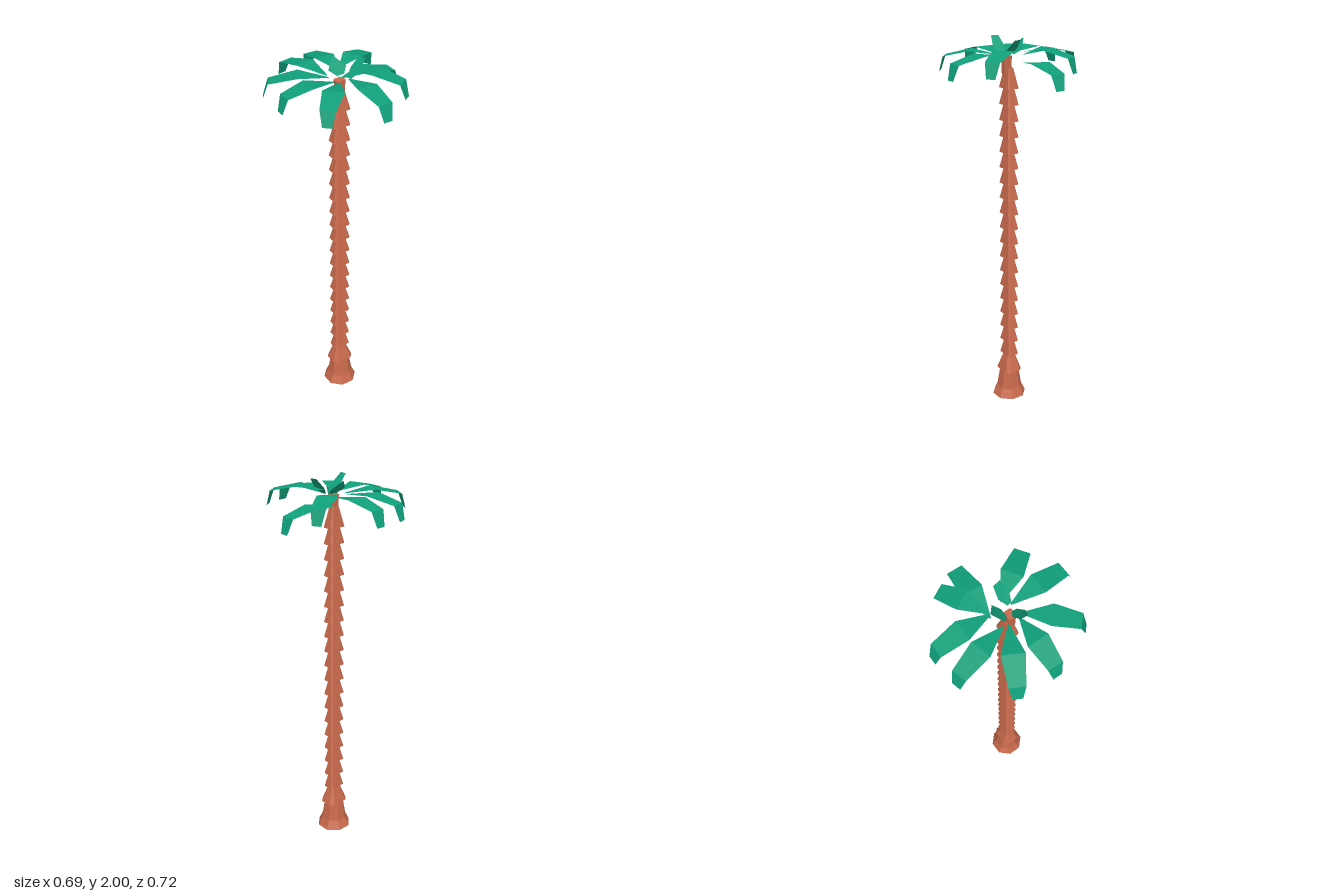
import * as THREE from 'three';

const bark = new THREE.MeshStandardMaterial({ color: 0xc8694c, flatShading: true });
const green = new THREE.MeshStandardMaterial({ color: 0x10a07a, flatShading: true, side: THREE.DoubleSide });

function meshFrom(name, pos, index, material) {
  const g = new THREE.BufferGeometry();
  g.setAttribute('position', new THREE.Float32BufferAttribute(pos, 3));
  g.setIndex(index);
  const flat = g.toNonIndexed();
  flat.computeVertexNormals();
  const m = new THREE.Mesh(flat, material);
  m.name = name;
  return m;
}

// Closed solid through eight-sided levels [y, halfWidth, halfDepth]; cut = corner chamfer share
function loft(name, levels, cut) {
  const pos = [], index = [], n = 8;
  for (const [y, w, d] of levels) {
    const c = cut * Math.min(w, d);
    const ring = [[w, d - c], [w - c, d], [c - w, d], [-w, d - c], [-w, c - d], [c - w, -d], [w - c, -d], [w, c - d]];
    for (const [x, z] of ring) pos.push(x, y, z);
  }
  const top = (levels.length - 1) * n;
  for (let l = 0; l < top; l += n) {
    for (let i = 0; i < n; i++) {
      const a = l + i, b = l + (i + 1) % n;
      index.push(a, a + n, b, b, a + n, b + n);
    }
  }
  for (let i = 1; i < n - 1; i++) {
    index.push(0, i, i + 1, top, top + i + 1, top + i);
  }
  return meshFrom(name, pos, index, bark);
}

// Thin blade from base to tip; sections are [share of length, half width, y]
function blade(name, [bx, bz], [tx, tz], sections) {
  const pos = [], index = [];
  const len = Math.hypot(tx - bx, tz - bz);
  const nx = -(tz - bz) / len, nz = (tx - bx) / len;
  sections.forEach(([t, w, y], i) => {
    const x = bx + (tx - bx) * t, z = bz + (tz - bz) * t;
    pos.push(x + nx * w, y, z + nz * w, x - nx * w, y, z - nz * w);
    if (i) {
      const a = 2 * i - 2;
      index.push(a, a + 2, a + 1, a + 1, a + 2, a + 3);
    }
  });
  return meshFrom(name, pos, index, green);
}

export function createModel() {
  const model = new THREE.Group();
  model.name = 'palmTree';

  // Trunk: flared foot, collar and stacked tapering segments
  const trunk = new THREE.Group();
  trunk.name = 'trunk';
  trunk.position.set(-0.013, 0, 0.005);
  const octagon = 2 - Math.SQRT2;
  trunk.add(loft('foot', [[0, 0.085, 0.085], [0.05, 0.064, 0.064], [0.165, 0.047, 0.047]], octagon));
  trunk.add(loft('collar', [[0.155, 0.063, 0.05], [0.26, 0.025, 0.02]], 0.4));
  for (let i = 0; i < 19; i++) {
    const y = 0.253 + i * 0.0832;
    trunk.add(loft('trunkSegment', [[y, 0.047, 0.032], [y + 0.1, 0.022, 0.014]], 0.25));
  }
  const stem = loft('crownStem', [[1.82, 0.02, 0.018], [1.91, 0.024, 0.02]], 0.3);
  stem.position.set(-0.005, 0, 0.01);
  trunk.add(stem);
  model.add(trunk);

  // Drooping fronds: [base xz, tip xz, height offset]
  const fronds = new THREE.Group();
  fronds.name = 'fronds';
  const layout = [
    [[-0.05, -0.045], [-0.12, -0.348], 0],
    [[0.03, -0.055], [0.037, -0.36], 0],
    [[0.03, -0.06], [0.272, -0.182], 0.015],
    [[0.03, -0.055], [0.344, -0.038], -0.04],
    [[0.04, 0.01], [0.197, 0.255], 0.025],
    [[0.015, 0.045], [0.016, 0.36], 0],
    [[-0.045, 0.055], [-0.243, 0.26], 0],
    [[-0.06, 0.035], [-0.344, 0.024], 0],
    [[-0.055, -0.02], [-0.323, -0.173], 0],
  ];
  for (const [base, tip, dy] of layout) {
    fronds.add(blade('frond', base, tip, [
      [0, 0.004, 1.915 + dy], [0.47, 0.053, 1.935 + dy],
      [0.92, 0.038, 1.905 + dy], [1, 0.023, 1.83 + dy],
    ]));
  }
  model.add(fronds);

  // Young upright leaves in the middle of the crown
  const heart = new THREE.Group();
  heart.name = 'youngLeaves';
  const rise = [[0, 0.012, 1.915], [0.45, 0.032, 1.95], [1, 0.02, 2]];
  heart.add(blade('youngLeaf', [-0.015, 0.04], [-0.098, 0.03], rise));
  heart.add(blade('youngLeaf', [0.02, 0.04], [0.098, 0.03], rise));
  heart.add(blade('youngLeaf', [0, -0.005], [0, -0.072], [[0, 0.02, 1.92], [0.4, 0.05, 1.945], [1, 0.003, 1.99]]));
  model.add(heart);

  return model;
}
